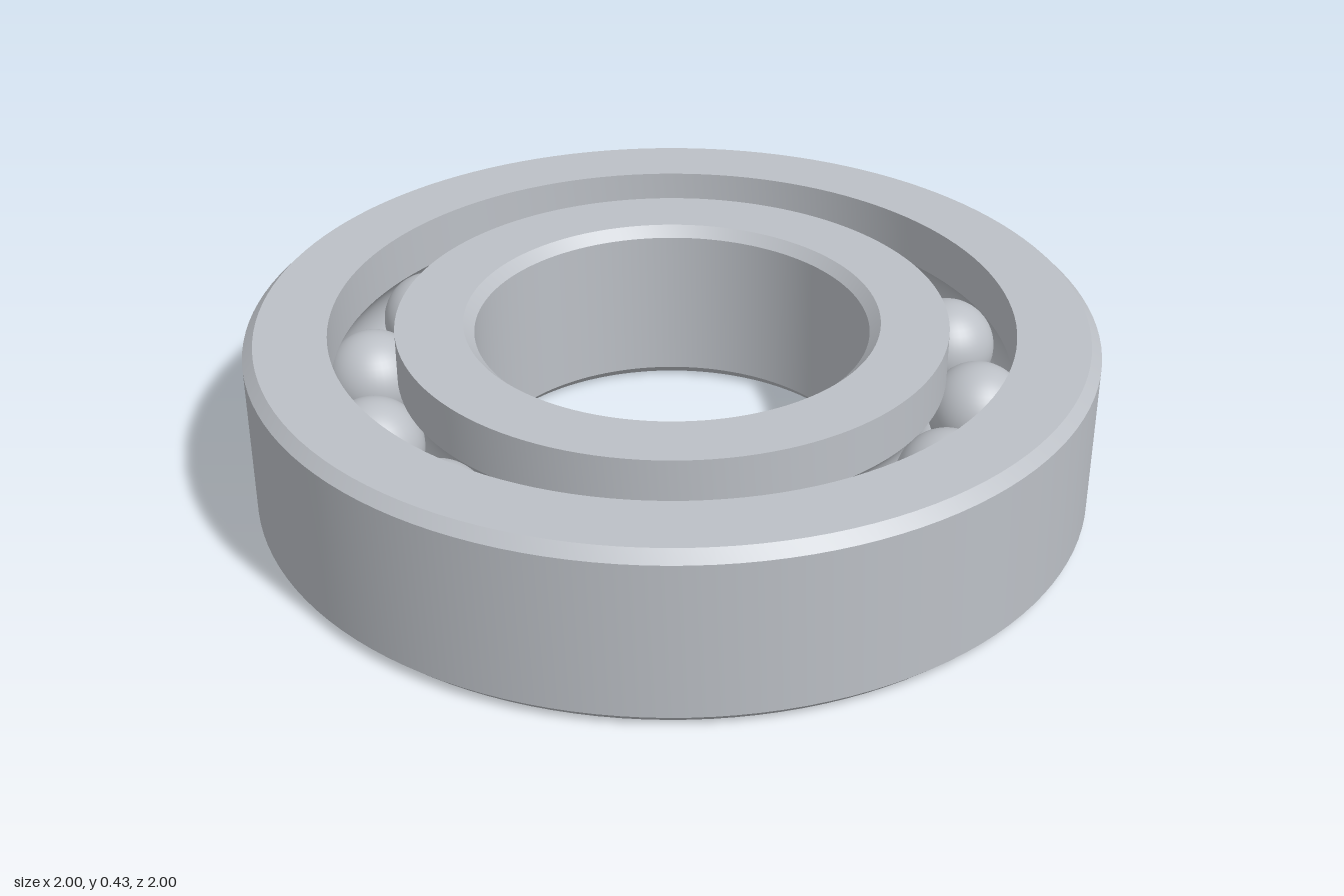
import * as THREE from 'three';
import { toCreasedNormals } from 'three/addons/utils/BufferGeometryUtils.js';

const HEIGHT = 0.427, MID = HEIGHT / 2, CHAMFER = 0.025;
const INNER_R = 0.465, INNER_SHOULDER = 0.65;
const OUTER_R = 1, OUTER_SHOULDER = 0.805;
const PITCH_R = (INNER_SHOULDER + OUTER_SHOULDER) / 2;
const BALL_R = 0.117, GROOVE_R = 0.119, BALLS = 14;

// Arc of the ball groove, swept from one shoulder edge to the other
function groove(middle, direction) {
  const half = Math.acos((OUTER_SHOULDER - PITCH_R) / GROOVE_R);
  return Array.from({ length: 17 }, (_, i) => {
    const t = middle + direction * half * (i / 8 - 1);
    return [PITCH_R + GROOVE_R * Math.cos(t), MID + GROOVE_R * Math.sin(t)];
  });
}

// Closed ring revolved from a counter-clockwise (radius, height) profile
function ring(name, profile, material) {
  const points = [...profile, profile[0]].map(([r, y]) => new THREE.Vector2(r, y));
  const geometry = toCreasedNormals(new THREE.LatheGeometry(points, 128), Math.PI / 9);
  const mesh = new THREE.Mesh(geometry, material);
  mesh.name = name;
  return mesh;
}

export function createModel() {
  const model = new THREE.Group();
  model.name = 'ballBearing';
  const steel = new THREE.MeshStandardMaterial({ color: 0xbcc0c6 });
  steel.name = 'steel';

  // Outer race: chamfered outside, groove inside
  model.add(ring('outerRace', [
    [OUTER_SHOULDER, 0],
    [OUTER_R - CHAMFER, 0],
    [OUTER_R, CHAMFER],
    [OUTER_R, HEIGHT - CHAMFER],
    [OUTER_R - CHAMFER, HEIGHT],
    [OUTER_SHOULDER, HEIGHT],
    ...groove(0, -1),
  ], steel));

  // Inner race: groove outside, chamfered bore
  model.add(ring('innerRace', [
    [INNER_R + CHAMFER, 0],
    [INNER_SHOULDER, 0],
    ...groove(Math.PI, -1),
    [INNER_SHOULDER, HEIGHT],
    [INNER_R + CHAMFER, HEIGHT],
    [INNER_R, HEIGHT - CHAMFER],
    [INNER_R, CHAMFER],
  ], steel));

  // Balls spaced evenly around the groove
  const balls = new THREE.Group();
  balls.name = 'balls';
  const ballGeometry = new THREE.SphereGeometry(BALL_R, 40, 24);
  for (let i = 0; i < BALLS; i++) {
    const a = (i / BALLS) * Math.PI * 2;
    const ball = new THREE.Mesh(ballGeometry, steel);
    ball.name = `ball${i + 1}`;
    ball.position.set(PITCH_R * Math.cos(a), MID, PITCH_R * Math.sin(a));
    balls.add(ball);
  }
  model.add(balls);

  return model;
}
